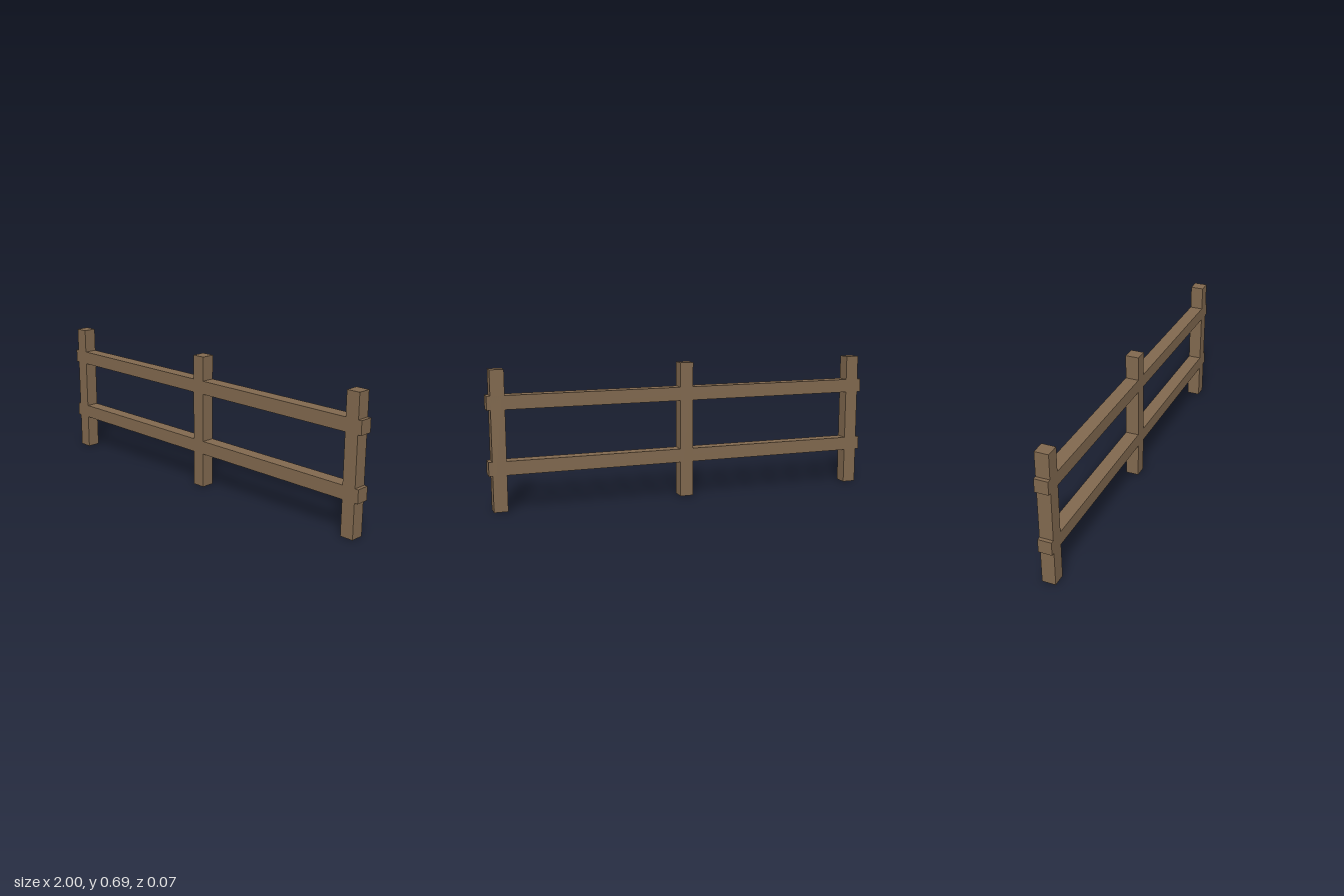
import * as THREE from 'three';

export function createModel() {
  const fence = new THREE.Group();
  fence.name = 'fence';

  const wood = new THREE.MeshStandardMaterial({ color: 0x80684e });
  wood.name = 'brown wood';

  const beam = 0.068; // square section shared by posts and rails
  const postHeight = 0.685;

  function addBeam(name, width, height, x, y) {
    const mesh = new THREE.Mesh(new THREE.BoxGeometry(width, height, beam), wood);
    mesh.name = name;
    mesh.position.set(x, y, 0);
    fence.add(mesh);
  }

  // Upright posts
  const posts = { rightPost: -0.948, middlePost: 0, leftPost: 0.948 };
  for (const [name, x] of Object.entries(posts)) {
    addBeam(name, beam, postHeight, x, postHeight / 2);
  }

  // Rails running through the posts, flush front and back
  const rails = { lowerRail: 0.212, upperRail: 0.528 };
  for (const [name, y] of Object.entries(rails)) {
    addBeam(name, 2, beam, 0, y);
  }

  return fence;
}
